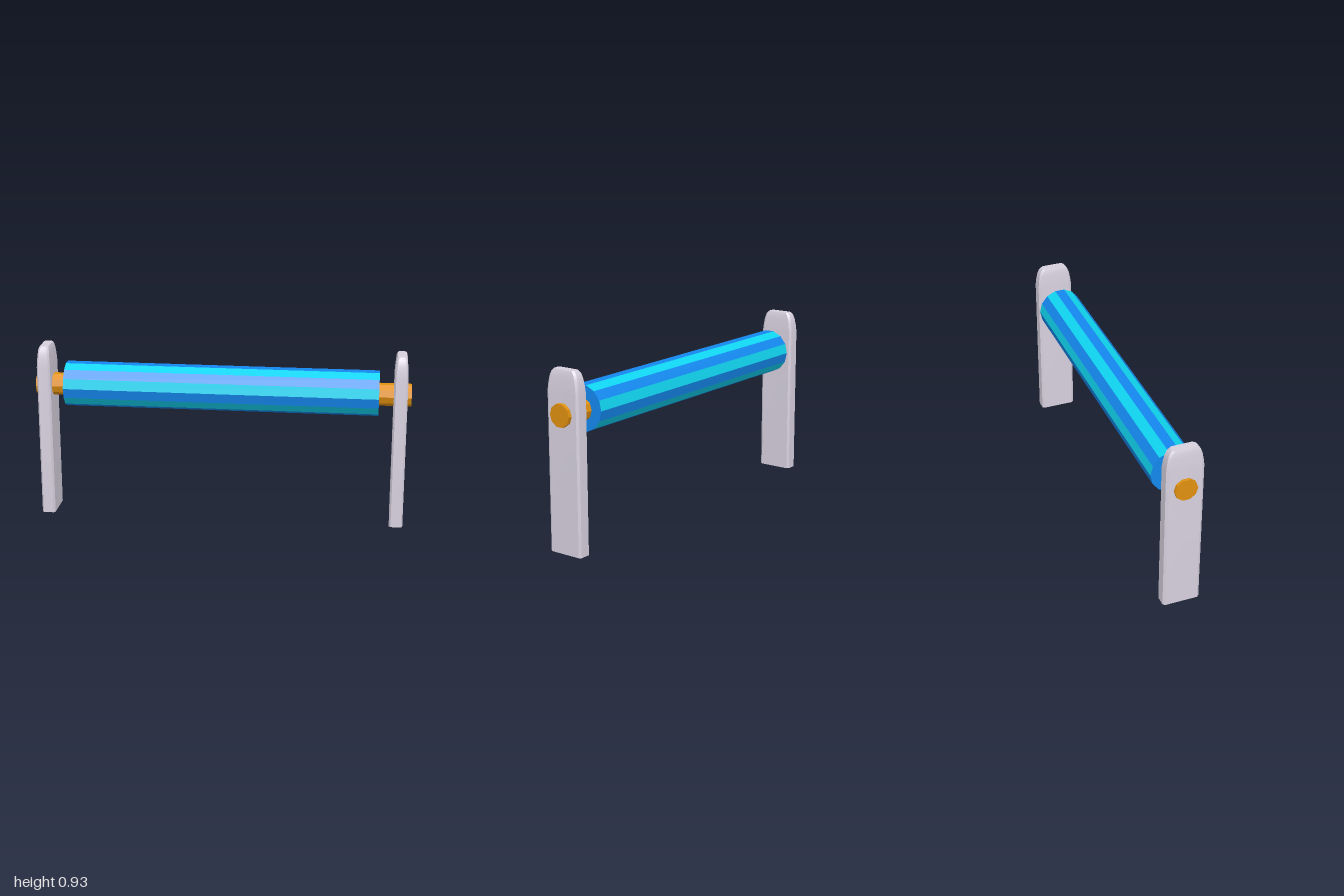
import * as THREE from 'three';
import { toCreasedNormals } from 'three/addons/utils/BufferGeometryUtils.js';

const SIDES = 14, RADIUS = 0.12, LENGTH = 1.67, ROLLER_Y = 0.715, AXLE_Y = 0.71;

const paint = (color, flatShading = false) => new THREE.MeshStandardMaterial({ color, flatShading });

function addMesh(parent, name, geometry, material) {
  const mesh = new THREE.Mesh(geometry, material);
  mesh.name = name;
  parent.add(mesh);
  return mesh;
}

// Upright with chamfered corners: eight-sided sections narrowing to a rounded top
function postGeometry() {
  // height, half width in x, half depth in z
  const sections = [
    [0, 0.036, 0.098], [0.82, 0.036, 0.098], [0.855, 0.034, 0.094],
    [0.89, 0.031, 0.088], [0.916, 0.028, 0.078], [0.93, 0.023, 0.065],
  ];
  const positions = [], index = [], n = 8;
  for (const [y, a, b] of sections) {
    const c = 0.009, d = 0.012;
    positions.push(
      a, y, b - d, a, y, d - b, a - c, y, -b, c - a, y, -b,
      -a, y, d - b, -a, y, b - d, c - a, y, b, a - c, y, b);
  }
  for (let s = 0; s < sections.length - 1; s++) {
    for (let i = 0; i < n; i++) {
      const p = s * n + i, q = s * n + (i + 1) % n;
      index.push(p, q, q + n, p, q + n, p + n);
    }
  }
  // Closed foot and top
  const top = (sections.length - 1) * n;
  for (let i = 1; i < n - 1; i++) {
    index.push(0, i + 1, i, top, top + i, top + i + 1);
  }
  const geometry = new THREE.BufferGeometry();
  geometry.setAttribute('position', new THREE.Float32BufferAttribute(positions, 3));
  geometry.setIndex(index);
  return toCreasedNormals(geometry, 0.6);
}

// Faceted drum with facets in two alternating colours
function buildRoller() {
  const roller = new THREE.Group();
  roller.name = 'roller';
  const cyan = paint(0x10d4f0), blue = paint(0x1488ee);
  const half = Math.PI / SIDES;
  for (let k = 0; k < SIDES; k++) {
    const strip = new THREE.PlaneGeometry(LENGTH, 2 * RADIUS * Math.sin(half));
    strip.translate(0, 0, RADIUS * Math.cos(half));
    strip.rotateX(-(2 * k + 1) * half);
    addMesh(roller, 'rollerStripe', strip, k % 2 ? blue : cyan);
  }
  for (const side of [-1, 1]) {
    const cap = new THREE.CircleGeometry(RADIUS, SIDES);
    cap.rotateY(side * Math.PI / 2);
    cap.translate(side * LENGTH / 2, 0, 0);
    addMesh(roller, 'rollerEnd', cap, blue);
  }
  roller.position.set(-0.004, ROLLER_Y, 0);
  return roller;
}

export function createModel() {
  const model = new THREE.Group();
  model.name = 'rollerBarrier';

  // Two uprights
  const post = postGeometry(), postPaint = paint(0xd6d0de);
  addMesh(model, 'leftPost', post, postPaint).position.x = 0.943;
  addMesh(model, 'rightPost', post, postPaint).position.x = -0.948;

  // Axle running through both uprights
  const axle = new THREE.CylinderGeometry(0.06, 0.06, 2, 10);
  axle.rotateZ(Math.PI / 2);
  addMesh(model, 'axle', axle, paint(0xe09010, true)).position.y = AXLE_Y;

  model.add(buildRoller());
  return model;
}
